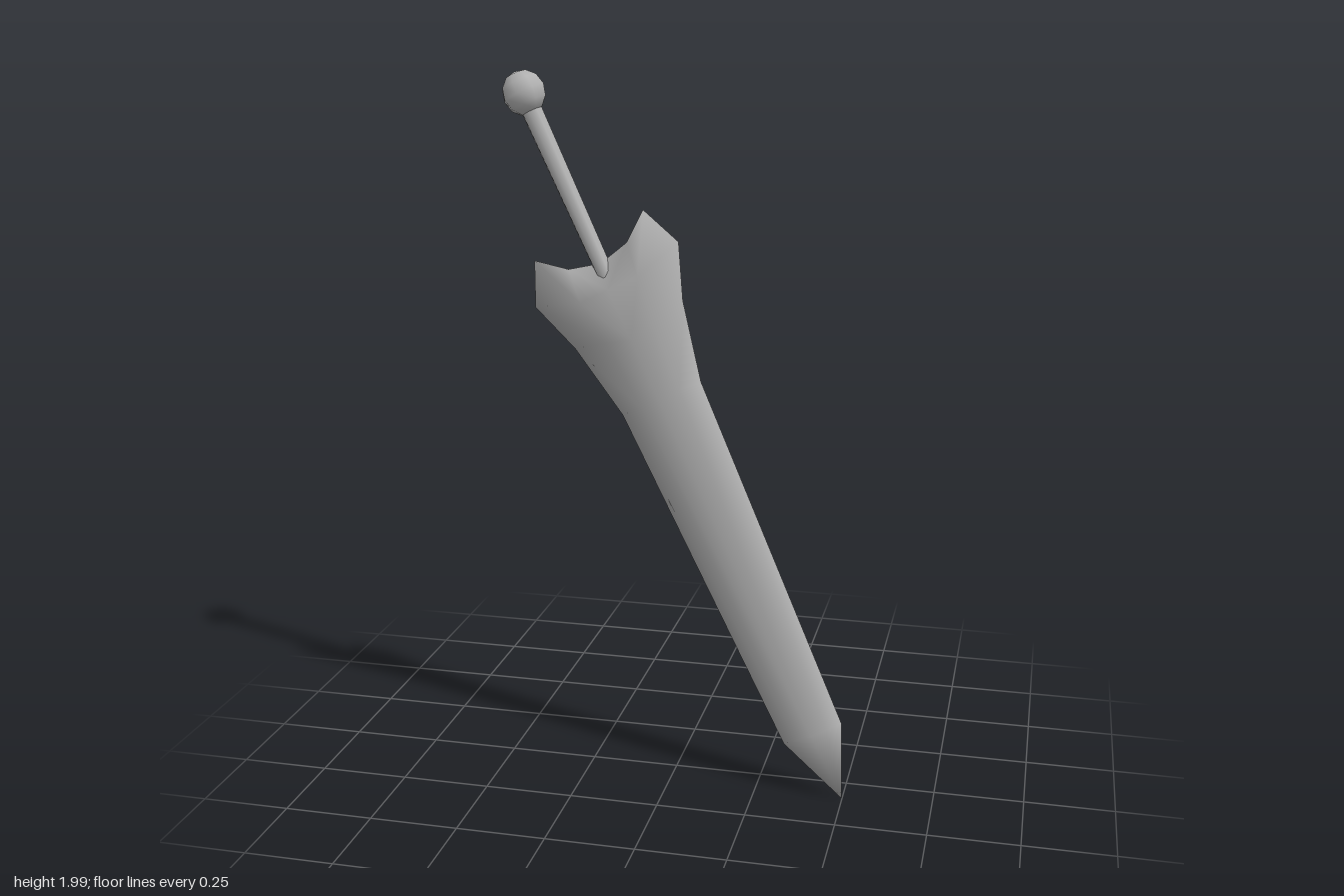
import * as THREE from 'three';
import { mergeVertices } from 'three/addons/utils/BufferGeometryUtils.js';

// Rows from the notch down to the tip. Each holds [half width, distance down, half thickness]
// at the centre, halfway out and at the cutting edge.
const ROWS = [
  [[0, -0.035, 0], [0.092, -0.057, 0], [0.172, -0.118, 0]],
  [[0, 0.04, 0.042], [0.09, 0.04, 0.034], [0.226, 0, 0]],
  [[0, 0.19, 0.034], [0.072, 0.17, 0.023], [0.17, 0.149, 0]],
  [[0, 0.371, 0.027], [0.061, 0.371, 0.0145], [0.123, 0.371, 0]],
  [[0, 1.405, 0.022], [0.045, 1.405, 0.0115], [0.09, 1.405, 0]],
  [[0, 1.61, 0], [0, 1.61, 0], [0, 1.61, 0]],
];

function bladeGeometry() {
  const positions = [];
  const point = (i, j, side) => {
    const [w, down, h] = ROWS[i][Math.abs(j)];
    return new THREE.Vector3(Math.sign(j) * w, -down, side * h);
  };
  const triangle = (a, b, c, side) => {
    if (a.equals(b) || b.equals(c) || a.equals(c)) return;
    for (const p of side > 0 ? [a, b, c] : [a, c, b]) positions.push(p.x, p.y, p.z);
  };
  for (const side of [1, -1]) {
    for (let i = 0; i < ROWS.length - 1; i++) {
      for (let j = -2; j < 2; j++) {
        const a = point(i, j, side), b = point(i + 1, j, side);
        const c = point(i + 1, j + 1, side), d = point(i, j + 1, side);
        // mirror the diagonals about the centre ridge
        if (j < 0) {
          triangle(a, b, c, side);
          triangle(a, c, d, side);
        } else {
          triangle(a, b, d, side);
          triangle(b, c, d, side);
        }
      }
    }
  }
  const geometry = new THREE.BufferGeometry();
  geometry.setAttribute('position', new THREE.Float32BufferAttribute(positions, 3));
  const merged = mergeVertices(geometry);
  merged.computeVertexNormals();
  return merged;
}

export function createModel() {
  const steel = new THREE.MeshStandardMaterial({ color: 0xb2b2b2 });
  steel.name = 'steel grey';

  const sword = new THREE.Group();
  sword.name = 'sword';
  const add = (name, geometry, y = 0) => {
    const mesh = new THREE.Mesh(geometry, steel);
    mesh.name = name;
    mesh.position.y = y;
    sword.add(mesh);
  };

  // Blade with flared, horned shoulders
  add('blade', bladeGeometry());
  // Grip, slightly thinner toward the blade
  add('grip', new THREE.CylinderGeometry(0.03, 0.024, 0.52, 8), 0.255);
  // Ball pommel
  add('pommel', new THREE.SphereGeometry(0.062, 8, 6), 0.538);

  // Lean the sword, tip down toward the model's left and slightly forward
  const up = new THREE.Vector3(-0.435, 0.9, -0.063).normalize();
  const across = new THREE.Vector3(0.9, 0.435, 0).normalize();
  const facing = new THREE.Vector3().crossVectors(across, up).normalize();
  sword.quaternion.setFromRotationMatrix(new THREE.Matrix4().makeBasis(across, up, facing));
  sword.position.set(-0.2, 1.46, -0.006);

  const model = new THREE.Group();
  model.name = 'model';
  model.add(sword);
  return model;
}
